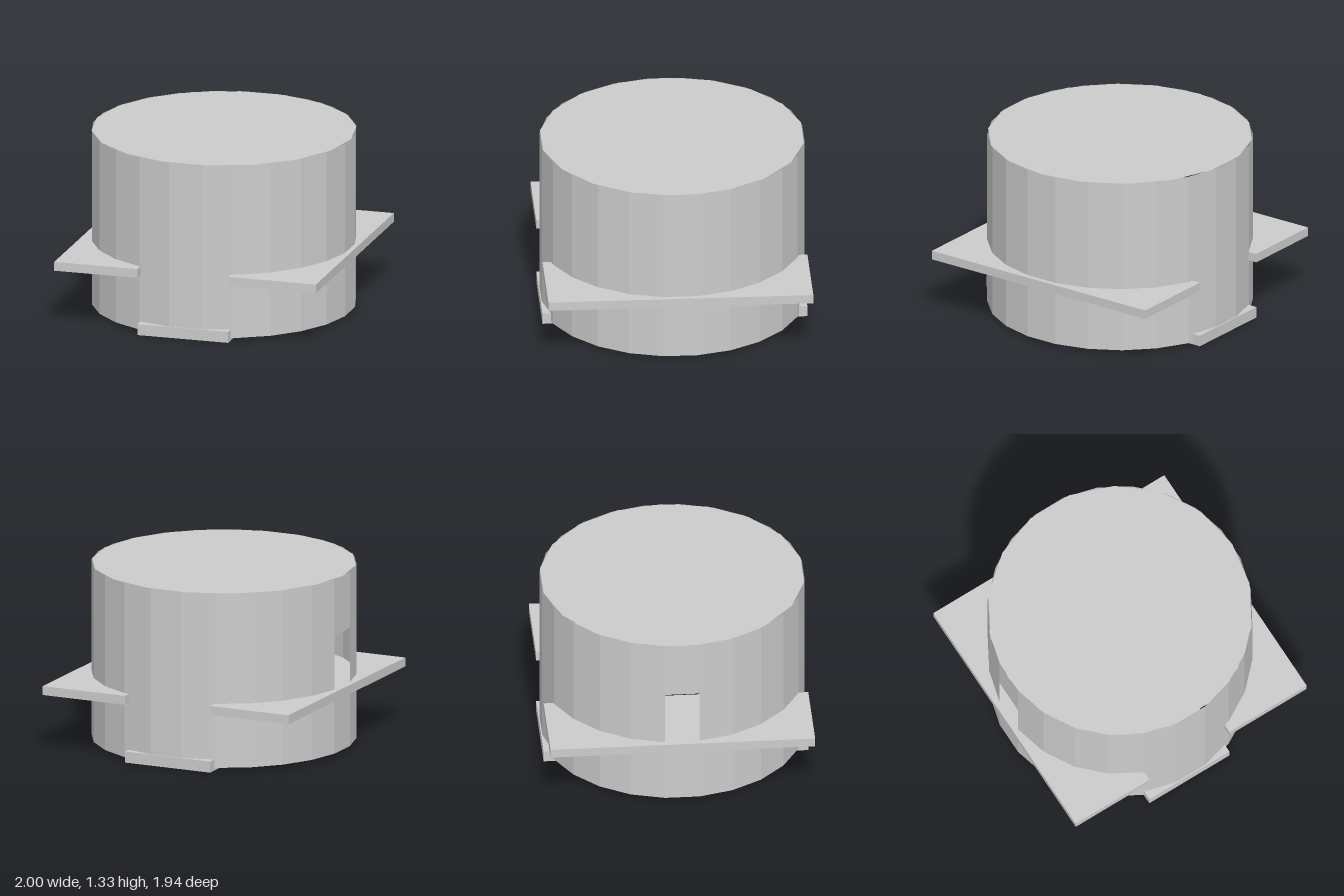
import * as THREE from 'three';

const RADIUS = 0.97;
const FACETS = 24;
const BOTTOM = 0.02;
const TOP = 1.333;
const STEP = (Math.PI * 2) / FACETS;

export function createModel() {
  const model = new THREE.Group();
  model.name = 'drumHousing';

  const grey = new THREE.MeshStandardMaterial({
    color: 0xcccccc, flatShading: true, side: THREE.DoubleSide,
  });
  grey.name = 'plainGrey';

  const add = (name, geometry, x, y, z) => {
    const mesh = new THREE.Mesh(geometry, grey);
    mesh.name = name;
    mesh.position.set(x, y, z);
    model.add(mesh);
    return mesh;
  };

  // Thin faceted wall section covering some of the facets
  const wall = (name, y0, y1, start, count) => add(name,
    new THREE.CylinderGeometry(RADIUS, RADIUS, y1 - y0, count, 1, true, start, count * STEP),
    0, (y0 + y1) / 2, 0);

  // Axis-aligned plate given by its limits
  const plate = (name, x0, x1, y0, y1) => add(name,
    new THREE.BoxGeometry(x1 - x0, y1 - y0, 1.94),
    (x0 + x1) / 2, (y0 + y1) / 2, 0);

  // Drum wall, open below, with a window in the facet facing -x
  const windowStart = Math.PI * 1.5 - STEP / 2;
  wall('drumWall', BOTTOM, TOP, windowStart + STEP, FACETS - 1);
  wall('panelBelowWindow', BOTTOM, 0.457, windowStart, 1);
  wall('panelAboveWindow', 0.91, TOP, windowStart, 1);

  // Lid with eighteen sides
  const lid = add('lid', new THREE.CircleGeometry(RADIUS, 18), 0, TOP, 0);
  lid.rotation.x = -Math.PI / 2;

  // Side shelves running through the drum, and the base bar between them
  plate('leftShelf', 0.33, 1, 0.435, 0.502);
  plate('rightShelf', -1, -0.363, 0.435, 0.502);
  plate('baseBar', -0.363, 0.33, 0, 0.083);

  return model;
}
